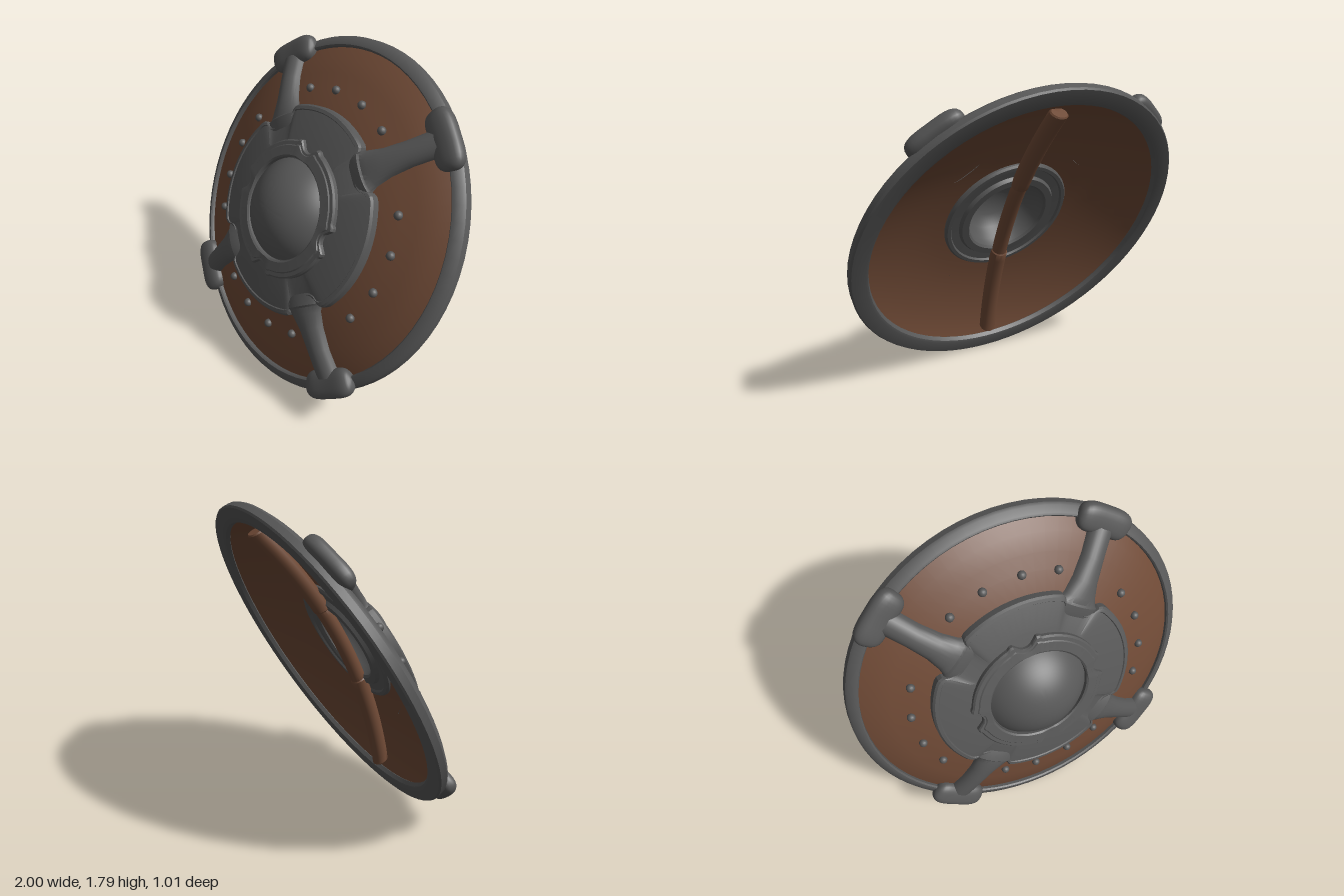
import * as THREE from 'three';
import { toCreasedNormals } from 'three/addons/utils/BufferGeometryUtils.js';

const iron = new THREE.MeshStandardMaterial({ color: 0x575757 });
iron.name = 'dark iron';
const wood = new THREE.MeshStandardMaterial({ color: 0x6e4935 });
wood.name = 'brown wood';

const rad = THREE.MathUtils.degToRad;
const lerp = THREE.MathUtils.lerp;

function add(parent, name, geometry, material) {
  const mesh = new THREE.Mesh(geometry, material);
  mesh.name = name;
  parent.add(mesh);
  return mesh;
}

// Turned part around the z axis from [radius, z] points
function turned(points, crease = 0.5) {
  const g = new THREE.LatheGeometry(points.map(p => new THREE.Vector2(p[0], p[1])), 72);
  return toCreasedNormals(g.rotateX(Math.PI / 2), crease);
}

// Skin over closed loops that all have the same number of points
function loft(loops, crease = 0.6) {
  const n = loops[0].length, index = [];
  for (let k = 0; k < loops.length - 1; k++) {
    for (let j = 0; j < n; j++) {
      const a = k * n + j, b = k * n + (j + 1) % n;
      index.push(a, b, b + n, a, b + n, a + n);
    }
  }
  const g = new THREE.BufferGeometry();
  g.setAttribute('position', new THREE.Float32BufferAttribute(loops.flat(2), 3));
  g.setIndex(index);
  return toCreasedNormals(g, crease);
}

// Plate with a polar outline; each step is [blend towards the inner radius, z]
function polarPlate(outline, inner, steps) {
  return loft(steps.map(([t, z]) => outline.map(([a, r]) => {
    const q = lerp(r, inner, t);
    return [q * Math.cos(a), q * Math.sin(a), z];
  })), 0.35);
}

// Round plate outline, stepped in at the four arms
function plateOutline() {
  const quarter = [];
  for (let a = 0; a <= 32; a += 4) quarter.push([a, 0.585]);
  quarter.push([34.5, 0.58], [36.5, 0.565], [38, 0.53], [40, 0.515], [43, 0.508], [48, 0.505],
    [53, 0.508], [56, 0.515], [58, 0.53], [59.5, 0.565], [61, 0.58]);
  for (let a = 63; a < 90; a += 4.5) quarter.push([a, 0.585]);
  const half = [...quarter, [90, 0.585], ...quarter.slice(1).reverse().map(([a, r]) => [180 - a, r])];
  const all = [...half, [180, 0.585], ...half.slice(1).reverse().map(([a, r]) => [360 - a, r])];
  return all.map(([a, r]) => [rad(a), r]);
}

// Collar outline with a round bite at each quarter
function collarOutline() {
  const out = [];
  for (let i = 0; i < 144; i++) {
    const deg = i * 2.5, d = Math.abs(((deg + 45) % 90) - 45);
    const bite = d < 8 ? 0.045 * Math.sqrt(1 - (d / 8) ** 2) : 0;
    out.push([rad(deg), 0.382 + (d >= 8 && d < 13 ? 0.008 : 0) - bite]);
  }
  return out;
}

// Tapered arm along x with a flat underside and a lip: [x, half width, base z, top z]
function armGeometry() {
  const sections = [[0.47, 0.125, 0.225, 0.255], [0.5, 0.132, 0.215, 0.264], [0.535, 0.13, 0.21, 0.268],
    [0.545, 0.117, 0.205, 0.259], [0.58, 0.1, 0.195, 0.256], [0.66, 0.08, 0.165, 0.235],
    [0.78, 0.072, 0.12, 0.2], [0.93, 0.075, 0.06, 0.145]];
  return loft(sections.map(([x, w, z0, z1]) => Array.from({ length: 24 }, (_, j) => {
    const a = j / 24 * Math.PI * 2, s = Math.sin(a);
    return [x, w * Math.cos(a), z0 + (z1 - z0) * (s > 0 ? s ** 0.8 : s * 0.1)];
  })));
}

// Bean-shaped clamp, bent to follow the rim, thicker at its ends
function clampGeometry() {
  const g = new THREE.SphereGeometry(1, 28, 18);
  const p = g.attributes.position;
  const box = v => Math.sign(v) * Math.abs(v) ** 0.8;
  for (let i = 0; i < p.count; i++) {
    const x = box(p.getX(i)), y = box(p.getY(i)), z = box(p.getZ(i));
    const swell = 0.9 + 0.35 * y * y;
    const r = 0.96 + 0.088 * x * swell, a = 0.17 * y;
    p.setXYZ(i, r * Math.cos(a), r * Math.sin(a), 0.088 + 0.058 * z * swell);
  }
  g.computeVertexNormals();
  return g;
}

// Bowed bar along y with closed ends
function barGeometry(y0, y1, radius) {
  const loops = [], steps = 12;
  const ring = (y, r) => Array.from({ length: 16 }, (_, j) => {
    const a = j / 16 * Math.PI * 2;
    return [r * Math.cos(a), y, 0.17 - 0.19 * y * y - r * Math.sin(a)];
  });
  loops.push(ring(y0, 0.001), ring(y0, radius * 0.85));
  for (let i = 0; i <= steps; i++) loops.push(ring(lerp(y0 + 0.008, y1 - 0.008, i / steps), radius));
  loops.push(ring(y1, radius * 0.85), ring(y1, 0.001));
  return loft(loops, 0.7);
}

export function createModel() {
  const model = new THREE.Group();
  model.name = 'roundShield';
  const shield = new THREE.Group();
  shield.name = 'leaningShield';
  shield.position.set(0, 0.889, -0.027);
  shield.rotation.x = -0.495;
  model.add(shield);

  // Thin wooden body, hollow at the back
  add(shield, 'woodenBody', turned([[0.36, 0.205], [0.45, 0.195], [0.58, 0.17], [0.69, 0.135], [0.78, 0.1],
    [0.87, 0.055], [0.93, 0.015], [0.95, 0.055], [0.87, 0.103], [0.78, 0.138], [0.69, 0.166],
    [0.58, 0.203], [0.45, 0.225], [0.36, 0.235]]), wood);

  // Iron rim, a touch taller than wide
  const rim = turned([[0.92, 0.06], [0.89, 0.03], [0.9, 0.006], [0.915, 0], [0.992, 0], [1, 0.01],
    [0.998, 0.05], [0.988, 0.065], [0.955, 0.085], [0.943, 0.088], [0.935, 0.08], [0.93, 0.05]]);
  add(shield, 'rim', rim.scale(1, 1.008, 1), iron);

  // Centre plate with a raised border, collar and boss
  add(shield, 'centrePlate', polarPlate(plateOutline(), 0.25,
    [[0, 0.18], [0, 0.24], [0.03, 0.252], [0.085, 0.256], [0.1, 0.25], [0.5, 0.278], [1, 0.29]]), iron);
  add(shield, 'bossCollar', polarPlate(collarOutline(), 0.285,
    [[0, 0.25], [0, 0.3], [0.09, 0.31], [0.3, 0.311], [0.36, 0.317], [0.9, 0.321], [1, 0.314], [1, 0.28]]), iron);
  const dome = [];
  for (let i = 0; i <= 14; i++) {
    const a = (1 - i / 14) * Math.asin(0.8);
    dome.push([0.35 * Math.sin(a), 0.088 + 0.35 * Math.cos(a)]);
  }
  add(shield, 'boss', turned(dome), iron);

  // Hollow of the boss, seen from behind
  add(shield, 'bossHollow', turned([[0, 0.4], [0.08, 0.392], [0.15, 0.365], [0.205, 0.31], [0.232, 0.24],
    [0.238, 0.185], [0.25, 0.172], [0.29, 0.172], [0.302, 0.192], [0.35, 0.19], [0.358, 0.178],
    [0.378, 0.178], [0.388, 0.19], [0.388, 0.215]]), iron);

  // Four arms with rim clamps
  const arm = armGeometry(), clamp = clampGeometry();
  for (const deg of [49.5, 130.5, -49.5, -130.5]) {
    const brace = new THREE.Group();
    brace.name = 'brace';
    brace.rotation.z = rad(deg);
    shield.add(brace);
    add(brace, 'arm', arm, iron);
    add(brace, 'rimClamp', clamp, iron);
  }

  // Four rivets in each wooden panel
  const rivet = new THREE.SphereGeometry(0.024, 16, 10);
  for (let side = 0; side < 4; side++) {
    for (const deg of [-26, -9, 9, 26]) {
      const a = rad(side * 90 + deg);
      add(shield, 'rivet', rivet, iron).position.set(0.69 * Math.cos(a), 0.69 * Math.sin(a), 0.172);
    }
  }

  // Handle across the back
  add(shield, 'lowerHandle', barGeometry(-0.845, -0.25, 0.05), wood);
  add(shield, 'handleGrip', barGeometry(-0.265, 0.265, 0.044), wood);
  add(shield, 'upperHandle', barGeometry(0.25, 0.845, 0.05), wood);

  return model;
}
